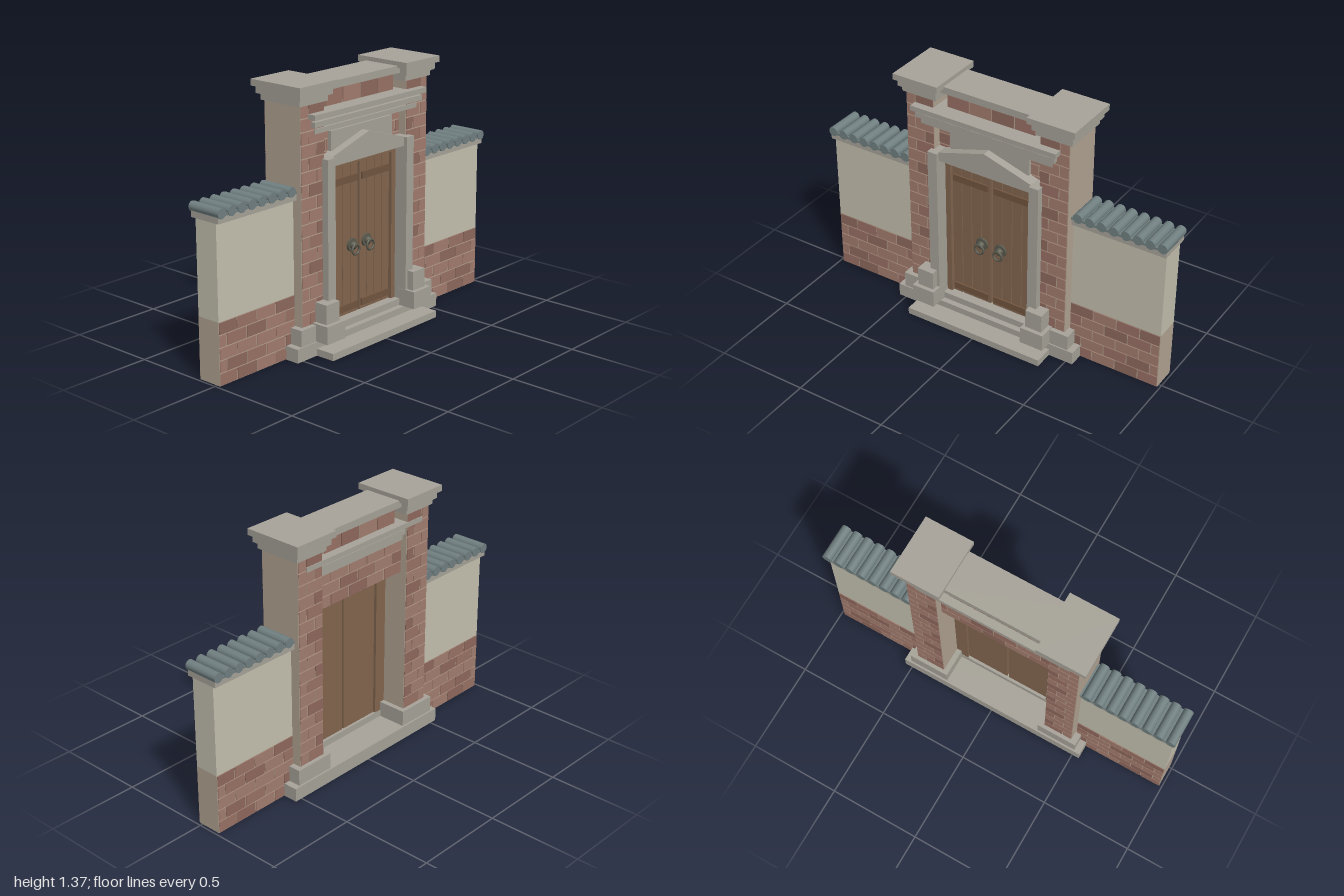
import * as THREE from 'three';

const mat = (color) => new THREE.MeshStandardMaterial({ color, roughness: 0.9 });
const M = {
  stone: mat(0xa8a49a), mortar: mat(0xb4a594), plaster: mat(0xc6c2b1),
  tile: mat(0x718081), wood: mat(0x83664f), woodDark: mat(0x735640), metal: mat(0x5c5c50),
  bricks: [mat(0x9a7266), mat(0xa47e70), mat(0x906a5e)],
};
const ZC = -0.0475; // depth centre of the masonry

// Box given by its limits on each axis
function box(parent, name, x0, x1, y0, y1, z0, z1, material) {
  const m = new THREE.Mesh(new THREE.BoxGeometry(x1 - x0, y1 - y0, z1 - z0), material);
  m.position.set((x0 + x1) / 2, (y0 + y1) / 2, (z0 + z1) / 2);
  m.name = name;
  parent.add(m);
  return m;
}

// Running-bond bricks standing slightly proud of a front or back face
function brickFace(parent, x0, x1, y0, y1, z, dir, len = 0.13) {
  const g = new THREE.Group();
  g.name = 'brickFacing';
  const rows = Math.max(1, Math.round((y1 - y0) / 0.064)), h = (y1 - y0) / rows, gap = 0.003;
  for (let r = 0; r < rows; r++) {
    let n = 0;
    for (let x = x0 - (r % 2 ? len / 2 : 0); x < x1 - 0.001; x += len, n++) {
      const a = Math.max(x, x0) + gap, b = Math.min(x + len, x1) - gap;
      if (b - a < 0.01) continue;
      box(g, 'brick', a, b, y0 + r * h + gap, y0 + (r + 1) * h - gap,
        z - 0.004, z + 0.004, M.bricks[(r * 2 + n * 4 + (r * n) % 3) % 3]);
    }
  }
  parent.add(g);
}

// Mortar core with bricks on front and back
function brickBlock(parent, name, x0, x1, y0, y1, z0, z1, len) {
  box(parent, name, x0, x1, y0, y1, z0, z1, M.mortar);
  brickFace(parent, x0, x1, y0, y1, z1, 1, len);
  brickFace(parent, x0, x1, y0, y1, z0, -1, len);
}

// Side wall with brick foot, plaster and tiled coping, on the +x side
function sideWall() {
  const g = new THREE.Group();
  brickBlock(g, 'wallFoot', 0.475, 0.985, 0, 0.32, -0.115, 0.02, 0.132);
  box(g, 'wallPlaster', 0.475, 0.985, 0.32, 0.805, -0.115, 0.02, M.plaster);
  box(g, 'wallCap', 0.475, 0.992, 0.805, 0.838, -0.138, 0.043, M.stone);
  box(g, 'panTiles', 0.475, 0.996, 0.838, 0.85, -0.142, 0.047, M.tile);
  const geo = new THREE.CylinderGeometry(0.026, 0.026, 0.195, 14).rotateX(Math.PI / 2);
  for (let i = 0; i < 8; i++) {
    const t = new THREE.Mesh(geo, M.tile);
    t.name = 'roofTile';
    t.position.set(0.512 + i * 0.066, 0.854, ZC);
    g.add(t);
  }
  return g;
}

// Gate pillar with base block and three-tier capital
function pillar() {
  const g = new THREE.Group(), cx = 0.388;
  brickBlock(g, 'pillarShaft', 0.308, 0.472, 0.157, 1.27, -0.164, 0.069, 0.11);
  box(g, 'pillarBase', 0.28, 0.505, 0.072, 0.157, -0.187, 0.095, M.stone);
  [[0.1, 0.128, 1.268, 1.3], [0.114, 0.146, 1.3, 1.335], [0.131, 0.162, 1.337, 1.37]].forEach(([hx, hz, y0, y1]) =>
    box(g, 'capitalTier', cx - hx, cx + hx, y0, y1, ZC - hz, ZC + hz, M.stone));
  box(g, 'capitalNeck', cx - 0.1, cx + 0.1, 1.33, 1.34, ZC - 0.12, ZC + 0.12, M.stone);
  return g;
}

// Stone door post with its stepped guard stone
function doorPost() {
  const g = new THREE.Group();
  box(g, 'doorPost', 0.27, 0.325, 0.072, 0.985, 0.02, 0.11, M.stone);
  box(g, 'guardStoneBase', 0.268, 0.4, 0.072, 0.165, 0.06, 0.17, M.stone);
  box(g, 'guardStoneTop', 0.285, 0.38, 0.165, 0.267, 0.06, 0.147, M.stone);
  return g;
}

// Planked door leaf with rails and ring handle
function doorLeaf() {
  const g = new THREE.Group(), x0 = 0.005, x1 = 0.238, n = 4, w = (x1 - x0) / n;
  box(g, 'leafBack', x0, x1, 0.108, 0.905, -0.015, 0.012, M.wood);
  for (let i = 0; i < n; i++)
    box(g, 'plank', x0 + i * w + 0.002, x0 + (i + 1) * w - 0.002, 0.11, 0.903, 0.005, 0.02, M.wood);
  for (const y of [0.13, 0.805])
    box(g, 'rail', 0.018, 0.228, y, y + 0.036, 0.015, 0.03, M.woodDark);
  const part = (name, geo, y, z) => {
    const m = new THREE.Mesh(geo, M.metal);
    m.name = name;
    m.position.set(0.056, y, z);
    g.add(m);
  };
  part('handlePlate', new THREE.CylinderGeometry(0.034, 0.034, 0.012, 20).rotateX(Math.PI / 2), 0.475, 0.025);
  part('handleBoss', new THREE.SphereGeometry(0.02, 16, 10), 0.475, 0.036);
  part('handleRing', new THREE.TorusGeometry(0.026, 0.006, 8, 20), 0.455, 0.052);
  return g;
}

export function createModel() {
  const root = new THREE.Group();
  root.name = 'courtyardGate';

  // Mirrored parts; a half turn keeps the boxes' winding intact
  const mirrored = { sideWall, pillar, doorPost, doorLeaf };
  for (const [name, make] of Object.entries(mirrored)) {
    for (const side of [1, -1]) {
      const g = make();
      g.name = name + (side > 0 ? 'Left' : 'Right');
      if (side < 0) g.traverse((o) => { o.position.x *= -1; });
      root.add(g);
    }
  }

  // Plinth, step and threshold
  box(root, 'plinth', -0.54, 0.54, 0, 0.072, -0.197, 0.102, M.stone);
  box(root, 'frontStep', -0.403, 0.403, 0, 0.037, 0.09, 0.21, M.stone);
  box(root, 'threshold', -0.28, 0.28, 0.07, 0.108, -0.03, 0.07, M.stone);

  // Wooden door frame
  for (const s of [-1, 1])
    box(root, 'frameJamb', s > 0 ? 0.24 : -0.31, s > 0 ? 0.31 : -0.24, 0.07, 0.937, -0.028, 0.035, M.wood);
  box(root, 'frameHead', -0.31, 0.31, 0.905, 0.937, -0.028, 0.035, M.wood);

  // Brick lintel, plaque and pediment
  brickBlock(root, 'lintel', -0.31, 0.31, 0.937, 1.125, -0.125, 0.022, 0.13);
  box(root, 'plaque', -0.23, 0.23, 1.0, 1.1, 0.015, 0.045, M.stone);
  const shape = new THREE.Shape([[-0.272, 0.937], [0.272, 0.937], [0.272, 0.985], [0, 1.068], [-0.272, 0.985]]
    .map(([x, y]) => new THREE.Vector2(x, y)));
  const pediment = new THREE.Mesh(new THREE.ExtrudeGeometry(shape, { depth: 0.07, bevelEnabled: false }), M.stone);
  pediment.name = 'pediment';
  pediment.position.z = 0.02;
  root.add(pediment);

  // Stepped cornice
  [[0.38, 0.108, 1.118, 1.143], [0.402, 0.127, 1.155, 1.182], [0.418, 0.143, 1.195, 1.222]].forEach(([hx, hz, y0, y1]) =>
    box(root, 'corniceTier', -hx, hx, y0, y1, -0.028 - hz, -0.028 + hz, M.stone));
  box(root, 'corniceCore', -0.37, 0.37, 1.118, 1.21, -0.125, 0.067, M.stone);

  // Parapet and coping
  brickBlock(root, 'parapet', -0.255, 0.255, 1.222, 1.31, -0.125, 0.025, 0.13);
  box(root, 'coping', -0.275, 0.275, 1.31, 1.348, -0.155, 0.056, M.stone);
  return root;
}
